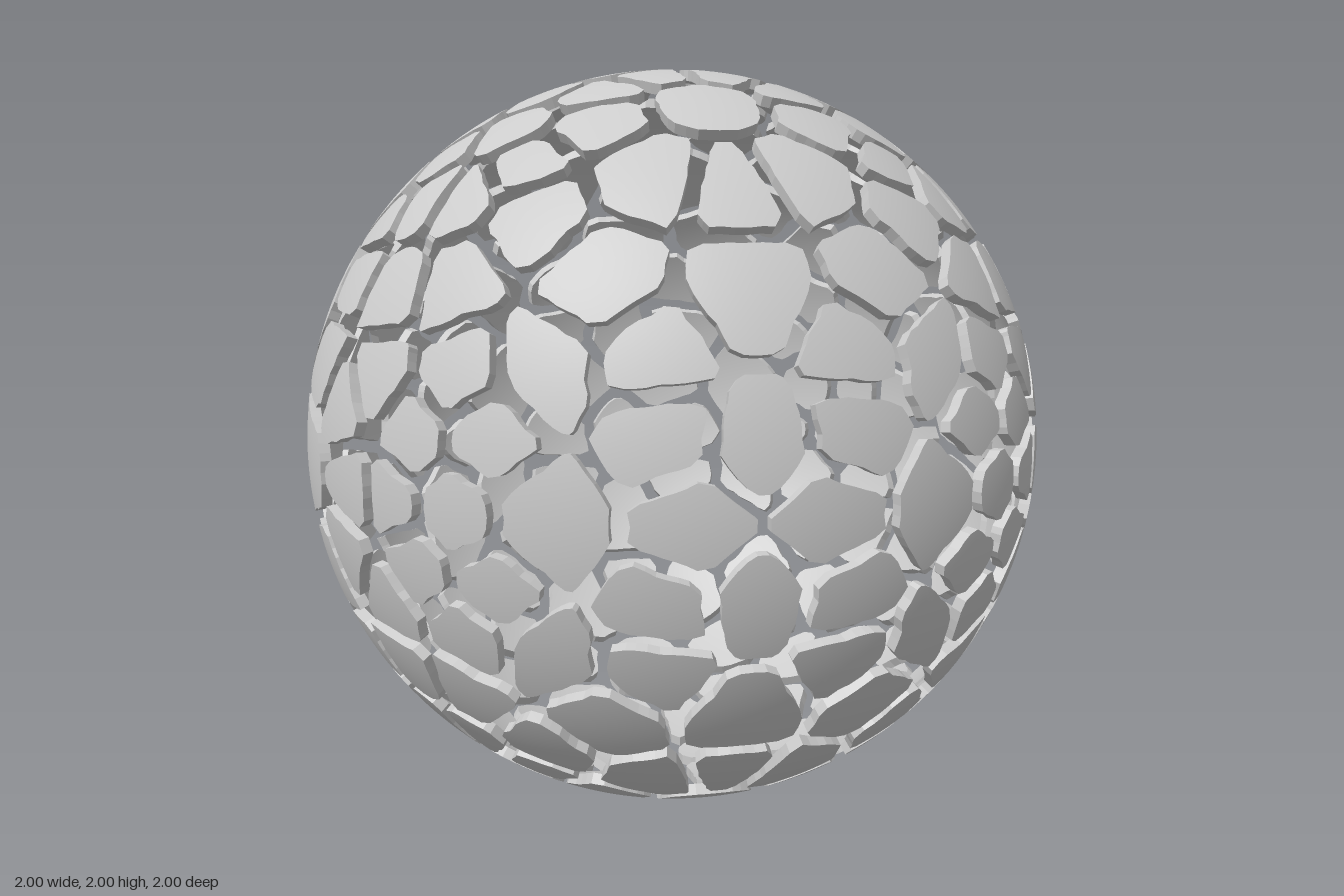
import * as THREE from 'three';

const GAP = 0.021;    // half the width of the cracks
const INNER = 0.972;  // inner radius of the shell
const STEP = 0.028;   // spacing of points along a plate's ragged edge
const RINGS = 3;

// Plate centres in one octant; a zero coordinate means the plate straddles that mirror plane.
const SEEDS = [
  [0.15, 0, 0.99], [0.45, 0, 0.89], [0.65, 0, 0.76], [0.78, 0, 0.63], [0.88, 0, 0.48], [0.98, 0, 0.18],
  [0, 0.18, 0.98], [0, 0.48, 0.88], [0, 0.71, 0.71], [0, 0.9, 0.44],
  [0.9, 0.42, 0], [0.73, 0.69, 0], [0.53, 0.85, 0], [0.16, 0.99, 0],
  [0.08, 0.97, 0.2], [0.36, 0.92, 0.12], [0.25, 0.93, 0.28], [0.28, 0.85, 0.45], [0.17, 0.73, 0.66],
  [0.45, 0.84, 0.3], [0.21, 0.2, 0.96], [0.22, 0.35, 0.91], [0.45, 0.33, 0.83], [0.32, 0.5, 0.8],
  [0.45, 0.63, 0.63], [0.62, 0.3, 0.73], [0.45, 0.75, 0.48], [0.95, 0.28, 0.25], [0.85, 0.48, 0.24],
  [0.8, 0.27, 0.53], [0.75, 0.46, 0.47], [0.66, 0.66, 0.32], [0.62, 0.76, 0.17], [0.62, 0.49, 0.61],
  [0.73, 0.15, 0.67], [0.57, 0.18, 0.8], [0.89, 0.18, 0.42], [0.58, 0.67, 0.45], [0.77, 0.61, 0.18],
];

// Mirror the centres into all eight octants.
function mirroredSeeds() {
  const signs = (v) => (v === 0 ? [1] : [1, -1]);
  const out = [];
  for (const [x, y, z] of SEEDS)
    for (const i of signs(x)) for (const j of signs(y)) for (const k of signs(z))
      out.push(new THREE.Vector3(x * i, y * j, z * k).normalize());
  return out;
}

// Keep the part of a polygon where nx*x + ny*y + d <= 0.
function clip(poly, nx, ny, d) {
  const out = [];
  poly.forEach((p, i) => {
    const q = poly[(i + 1) % poly.length];
    const a = nx * p.x + ny * p.y + d, b = nx * q.x + ny * q.y + d;
    if (a <= 0) out.push(p);
    if ((a <= 0) !== (b <= 0)) out.push(p.clone().lerp(q, a / (a - b)));
  });
  return out;
}

// Blunt the corners, then divide the edges evenly.
function softenAndDivide(poly) {
  const cut = [];
  poly.forEach((p, i) => {
    const q = poly[(i + 1) % poly.length];
    cut.push(p.clone().lerp(q, 0.14), p.clone().lerp(q, 0.86));
  });
  const out = [];
  cut.forEach((p, i) => {
    const q = cut[(i + 1) % cut.length];
    const n = Math.max(1, Math.round(p.distanceTo(q) / STEP));
    for (let k = 0; k < n; k++) out.push(p.clone().lerp(q, k / n));
  });
  return out;
}

// Edge roughness, identical in every octant.
function roughness(p) {
  const x = Math.abs(p.x), y = Math.abs(p.y), z = Math.abs(p.z);
  return Math.sin(83 * x + 41 * y) * 0.5 + Math.sin(97 * y + 57 * z) * 0.5 + Math.sin(119 * z + 71 * x) * 0.4;
}

// Outline of one plate as directions on the unit sphere.
function plateOutline(seed, seeds) {
  const helper = Math.abs(seed.y) < 0.9 ? new THREE.Vector3(0, 1, 0) : new THREE.Vector3(1, 0, 0);
  const u = helper.cross(seed).normalize();
  const v = seed.clone().cross(u);
  let poly = [[-1, -1], [1, -1], [1, 1], [-1, 1]].map(([x, y]) => new THREE.Vector2(x * 0.5, y * 0.5));
  for (const other of seeds) {
    if (other === seed || other.distanceTo(seed) > 0.9) continue;
    const m = other.clone().sub(seed).normalize();
    poly = clip(poly, u.dot(m), v.dot(m), seed.dot(m) + GAP);
  }
  if (poly.length < 3) return null;
  const toSphere = (p) => seed.clone().addScaledVector(u, p.x).addScaledVector(v, p.y).normalize();
  const centre = poly.reduce((c, p) => c.add(p), new THREE.Vector2()).divideScalar(poly.length);
  const edge = softenAndDivide(poly).map((p) => {
    const away = p.clone().sub(centre).normalize();
    return toSphere(p.clone().addScaledVector(away, 0.005 * roughness(toSphere(p))));
  });
  return { centre: toSphere(centre), edge };
}

// A curved plate: outer skin, inner skin and the wall round its edge.
function plateGeometry({ centre, edge }) {
  const pos = [], nor = [];
  const n = edge.length;
  const ring = (i, r) => centre.clone().lerp(edge[i % n], r / RINGS).normalize();
  const skin = (a, b, c) => {
    for (const p of [a, b, c]) {
      pos.push(p.x, p.y, p.z);
      nor.push(p.x, p.y, p.z);
    }
    for (const p of [a, c, b]) {
      pos.push(p.x * INNER, p.y * INNER, p.z * INNER);
      nor.push(-p.x, -p.y, -p.z);
    }
  };
  for (let i = 0; i < n; i++) {
    skin(centre, ring(i, 1), ring(i + 1, 1));
    for (let r = 1; r < RINGS; r++) {
      const a = ring(i, r), b = ring(i + 1, r), c = ring(i, r + 1), d = ring(i + 1, r + 1);
      skin(a, c, d);
      skin(a, d, b);
    }
    const a = ring(i, RINGS), b = ring(i + 1, RINGS);
    const a2 = a.clone().multiplyScalar(INNER), b2 = b.clone().multiplyScalar(INNER);
    const normal = b.clone().sub(a).cross(a).normalize();
    for (const p of [a, a2, b2, a, b2, b]) {
      pos.push(p.x, p.y, p.z);
      nor.push(normal.x, normal.y, normal.z);
    }
  }
  const g = new THREE.BufferGeometry();
  g.setAttribute('position', new THREE.Float32BufferAttribute(pos, 3));
  g.setAttribute('normal', new THREE.Float32BufferAttribute(nor, 3));
  return g;
}

export function createModel() {
  const model = new THREE.Group();
  model.name = 'crackedSphere';
  const shell = new THREE.Group();
  shell.name = 'shell';
  shell.position.y = 1;
  model.add(shell);
  const material = new THREE.MeshStandardMaterial({ color: 0xcccccc });
  const seeds = mirroredSeeds();
  for (const seed of seeds) {
    const outline = plateOutline(seed, seeds);
    if (!outline) continue;
    const plate = new THREE.Mesh(plateGeometry(outline), material);
    plate.name = 'shellPlate';
    shell.add(plate);
  }
  return model;
}
